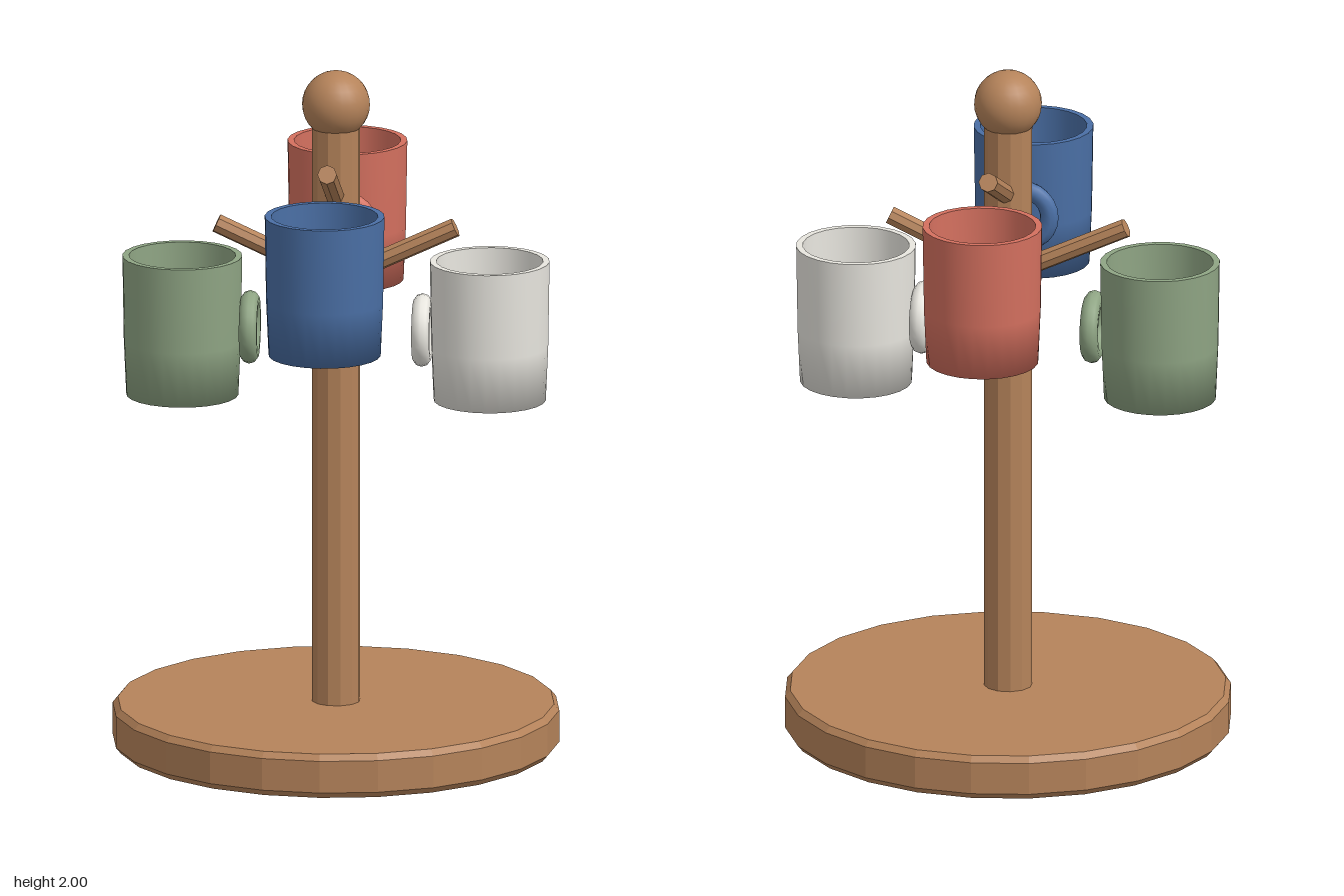
import * as THREE from 'three';

const material = (color, flatShading = false) => new THREE.MeshStandardMaterial({ color, flatShading });
const wood = material(0xb5835a, true);
const smoothWood = material(0xb5835a);
const points = (list) => list.map(([x, y]) => new THREE.Vector2(x, y));

function addMesh(parent, name, geometry, mat) {
  const mesh = new THREE.Mesh(geometry, mat);
  mesh.name = name;
  parent.add(mesh);
  return mesh;
}

// Hollow cup with a ring handle on the side facing the pole (-z)
function createMug(color) {
  const mug = new THREE.Group();
  const glaze = material(color);
  const outer = [[0, 0], [0.162, 0], [0.169, 0.16], [0.173, 0.412]];
  const rim = [[0.173, 0.412], [0.154, 0.412]];
  const inner = [[0.154, 0.412], [0.15, 0.16], [0.142, 0.025], [0, 0.025]];
  [['mugOuter', outer], ['mugRim', rim], ['mugInner', inner]].forEach(([name, profile]) =>
    addMesh(mug, name, new THREE.LatheGeometry(points(profile), 24), glaze));
  const handle = addMesh(mug, 'mugHandle', new THREE.TorusGeometry(0.079, 0.027, 10, 24), glaze);
  handle.position.set(0, 0.203, -0.195);
  return mug;
}

// Peg rising outward from the pole axis along +z
function createPeg() {
  const start = new THREE.Vector3(0, 0, 0);
  const end = new THREE.Vector3(0, 0.16, 0.345);
  const direction = end.clone().sub(start);
  const peg = new THREE.Mesh(new THREE.CylinderGeometry(0.028, 0.028, direction.length(), 8), wood);
  peg.name = 'peg';
  peg.position.copy(start).add(end).multiplyScalar(0.5);
  peg.quaternion.setFromUnitVectors(new THREE.Vector3(0, 1, 0), direction.normalize());
  return peg;
}

export function createModel() {
  const model = new THREE.Group();
  model.name = 'mugTree';

  // Round base with bevelled edges
  const baseProfile = [[0, 0], [0.63, 0], [0.645, 0.018], [0.645, 0.112], [0.63, 0.13], [0, 0.13]];
  addMesh(model, 'base', new THREE.LatheGeometry(points(baseProfile), 24), wood);

  // Pole and ball finial
  addMesh(model, 'pole', new THREE.CylinderGeometry(0.07, 0.07, 1.75, 12), wood).position.y = 0.975;
  addMesh(model, 'finial', new THREE.SphereGeometry(0.098, 24, 16), smoothWood).position.y = 1.902;

  // Four diagonal arms: angle about y, drop below the upper level, mug colour
  const arms = [
    ['blue', 1, 0, 0x4a6fa5],
    ['white', 3, 0.238, 0xe8e6df],
    ['red', 5, 0, 0xd4705f],
    ['green', 7, 0.238, 0x8fa584],
  ];
  for (const [name, eighth, drop, color] of arms) {
    const arm = new THREE.Group();
    arm.name = `${name}Arm`;
    arm.rotation.y = (eighth * Math.PI) / 4;
    const peg = createPeg();
    peg.position.y += 1.62 - drop;
    const mug = createMug(color);
    mug.name = `${name}Mug`;
    mug.position.set(0, 1.27 - drop, 0.444);
    arm.add(peg, mug);
    model.add(arm);
  }
  return model;
}
